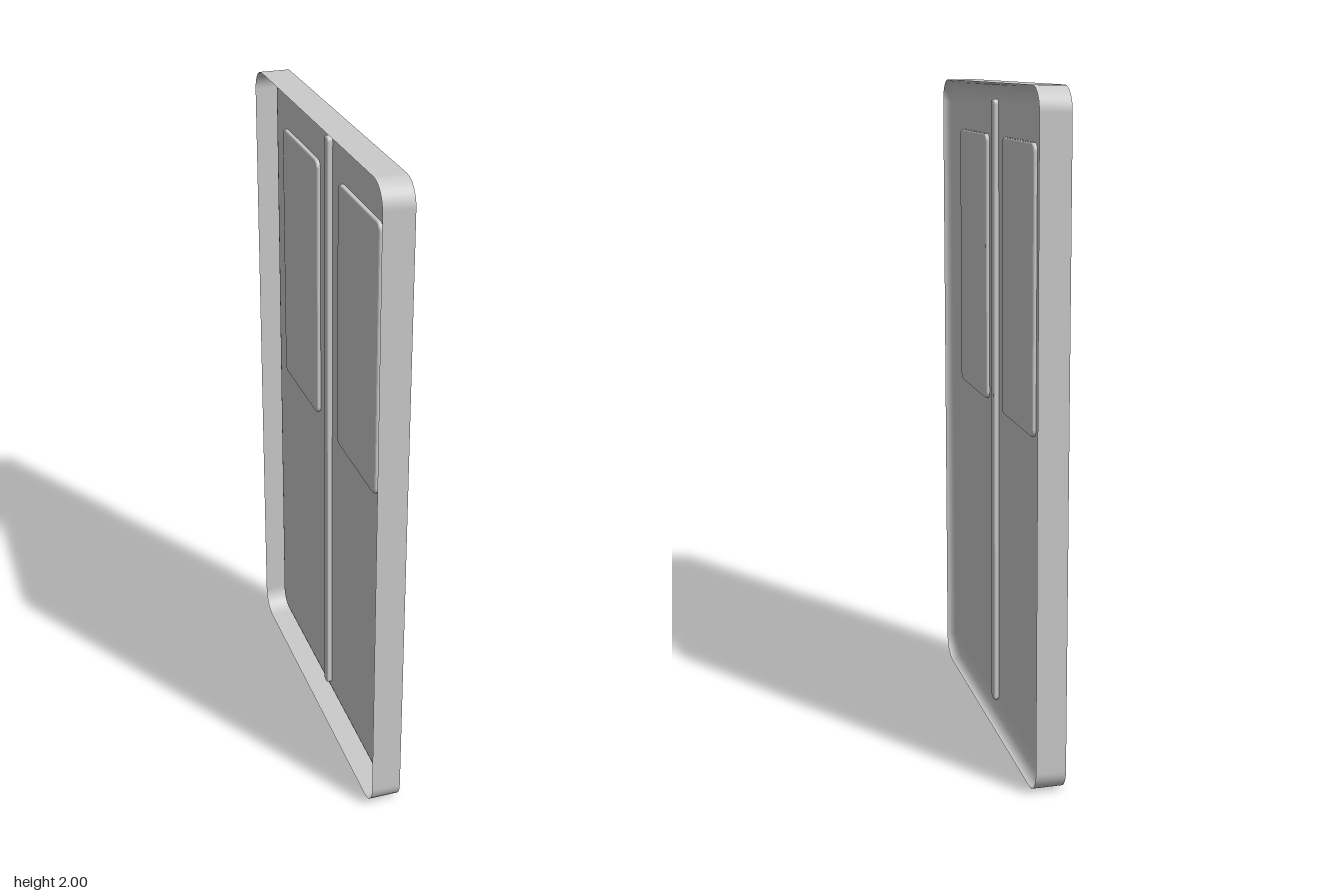
import * as THREE from 'three';

const T = 0.045;        // half thickness of the frame
const PANEL_X = 0.01;   // plane of the recessed sheet
const material = new THREE.MeshStandardMaterial({ color: 0xcccccc, side: THREE.DoubleSide });

// Counter-clockwise rounded rectangle, centred on the origin
function roundedRect(w, h, r, steps = 8) {
  const pts = [];
  for (let c = 0; c < 4; c++) {
    const sx = c === 0 || c === 3 ? 1 : -1;
    const sy = c < 2 ? 1 : -1;
    for (let i = 0; i <= steps; i++) {
      const a = (c + i / steps) * Math.PI / 2;
      pts.push(new THREE.Vector2(sx * (w / 2 - r) + r * Math.cos(a), sy * (h / 2 - r) + r * Math.sin(a)));
    }
  }
  return pts;
}

// Joins rounded-rectangle rings given as [x, inset]; can close the last ring
function ringSheet(profile, closed) {
  const pos = [], index = [];
  let n = 0;
  for (const [x, inset] of profile) {
    const ring = roundedRect(1.15 - 2 * inset, 2 - 2 * inset, Math.max(0.07 - inset * 0.6, 0.02));
    n = ring.length;
    for (const p of ring) pos.push(x, p.y + 1, p.x);
  }
  const last = profile.length - 1;
  for (let i = 0; i < last; i++) {
    for (let j = 0; j < n; j++) {
      const k = (j + 1) % n, a = i * n, b = a + n;
      index.push(a + k, a + j, b + j, a + k, b + j, b + k);
    }
  }
  if (closed) {
    pos.push(profile[last][0], 1, 0);
    for (let j = 0; j < n; j++) index.push((last + 1) * n, last * n + (j + 1) % n, last * n + j);
  }
  const g = new THREE.BufferGeometry();
  g.setAttribute('position', new THREE.Float32BufferAttribute(pos, 3));
  g.setIndex(index);
  g.computeVertexNormals();
  return g;
}

// Bevelled plate standing out on both sides of the sheet
function plate(name, w, h, r, raise, bevel, y, z) {
  const g = new THREE.ExtrudeGeometry(new THREE.Shape(roundedRect(w - 2 * bevel, h - 2 * bevel, r, 5)), {
    depth: 2 * (raise - bevel), bevelEnabled: true, bevelThickness: bevel, bevelSize: bevel, bevelSegments: 3,
  });
  g.translate(0, 0, -(raise - bevel));
  g.rotateY(Math.PI / 2);
  const m = new THREE.Mesh(g, material);
  m.name = name;
  m.position.set(PANEL_X, y, z);
  return m;
}

export function createModel() {
  const door = new THREE.Group();
  door.name = 'doubleDoor';

  // Thin outer rim, open at the back
  const rim = new THREE.Mesh(ringSheet([[-T, 0], [T, 0]], false), material);
  rim.name = 'outerRim';

  // Dished sheet: a concave fillet runs from the rim into the flat panel
  const profile = [];
  for (let i = 0; i <= 8; i++) {
    const a = i / 8 * Math.PI / 2;
    profile.push([T - (T - PANEL_X) * Math.sin(a), 0.06 * (1 - Math.cos(a))]);
  }
  profile.push([PANEL_X, 0.07]);
  const panel = new THREE.Mesh(ringSheet(profile, true), material);
  panel.name = 'doorPanel';
  door.add(rim, panel);

  // Window on each leaf
  for (const s of [1, -1]) {
    door.add(plate(s > 0 ? 'frontWindow' : 'rearWindow', 0.34, 0.82, 0.016, 0.012, 0.006, 1.435, s * 0.265));
  }

  // Vertical strip where the leaves meet
  door.add(plate('centreStrip', 0.036, 1.89, 0.008, 0.016, 0.006, 1.005, 0));
  return door;
}
